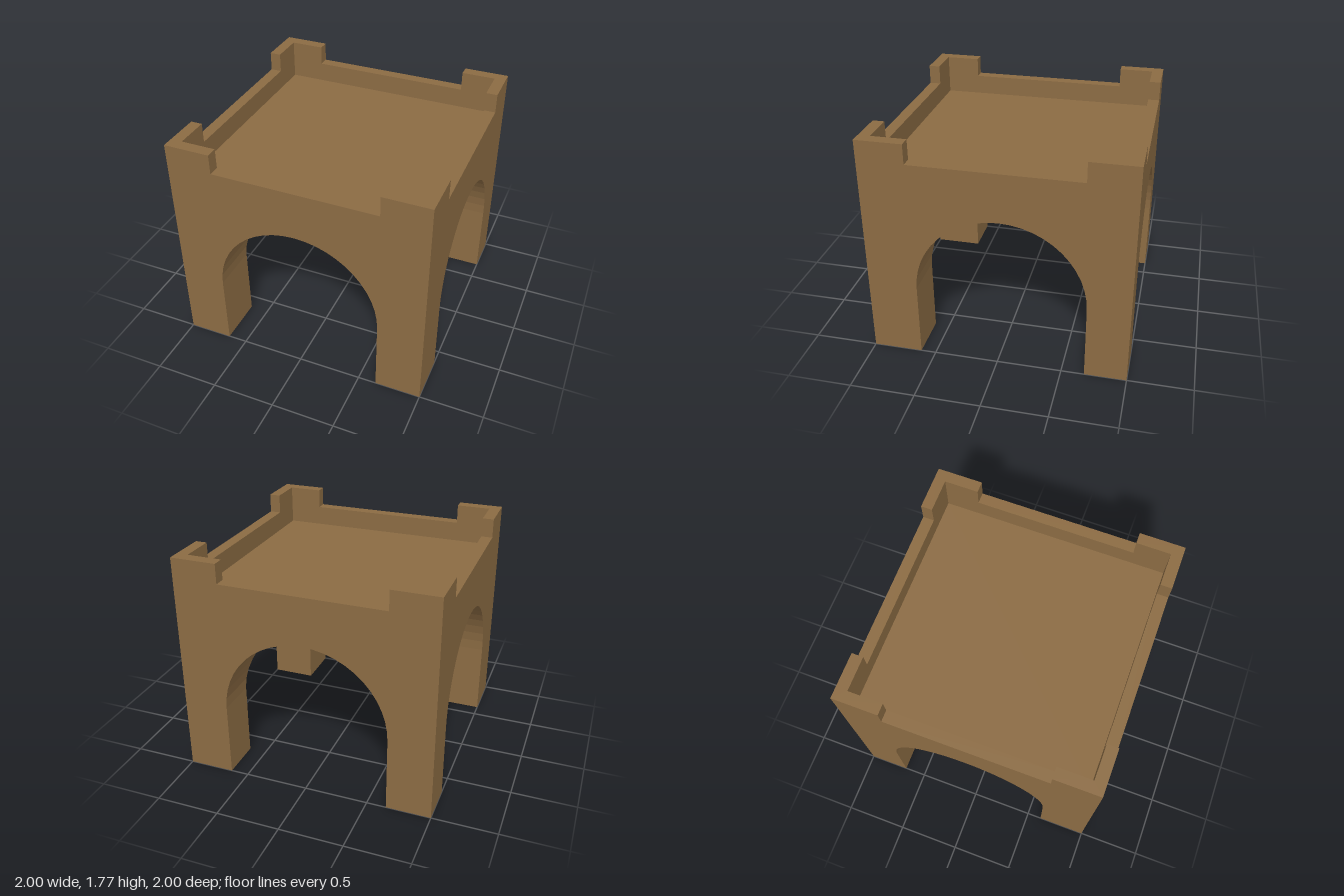
import * as THREE from 'three';

const SPRING = 0.59, R = 0.647, SEG = 24;           // arch springing height, radius, facets
const CX = -0.005, CZ = -0.03;                      // arch centres on the x and z walls
const FLOOR = 1.46, LOW = 1.62, TOP = 1.775;        // terrace, low parapet, corner heights
const INNER = 0.91, GAP = 0.64;                     // parapet inner face, end of corner pieces

const material = new THREE.MeshStandardMaterial({ color: 0x8b6b43, flatShading: true });

// Half the arch profile is leg, the rest a faceted semicircle: from right foot to left foot
function archProfile() {
  const points = [[R, 0]];
  for (let i = 0; i <= SEG; i++) {
    const t = (i / SEG) * Math.PI;
    points.push([R * Math.cos(t), SPRING + R * Math.sin(t)]);
  }
  points.push([-R, 0]);
  return points;
}

function polygon(points) {
  return new THREE.ShapeGeometry(new THREE.Shape(points.map(([x, y]) => new THREE.Vector2(x, y))));
}

function quads(list) {
  const positions = [];
  for (const [a, b, c, d] of list) positions.push(...a, ...b, ...c, ...a, ...c, ...d);
  const geometry = new THREE.BufferGeometry();
  geometry.setAttribute('position', new THREE.Float32BufferAttribute(positions, 3));
  geometry.computeVertexNormals();
  return geometry;
}

function add(parent, name, geometry) {
  const mesh = new THREE.Mesh(geometry, material);
  mesh.name = name;
  parent.add(mesh);
  return mesh;
}

// Notched upper edge of a wall, from right to left
const battlement = (half) => [
  [half, TOP], [GAP, TOP], [GAP, LOW], [-GAP, LOW], [-GAP, TOP], [-half, TOP],
];

// One side, built facing +z; archX is its arch centre, crossZ the crossing vault's centre
function createSide(archX, crossZ) {
  const side = new THREE.Group();
  const profile = archProfile().map(([u, y]) => [u + archX, y, crossZ + Math.abs(u)]);

  // Outer wall with arch opening and notched top
  const opening = profile.map(([x, y]) => [x, y]).reverse();
  add(side, 'archedWall', polygon([[1, 0], ...battlement(1), [-1, 0], ...opening]))
    .position.z = 1;

  // Quarter of the groin vault, with the inner leg faces
  const strips = [];
  for (let i = 0; i < profile.length - 1; i++) {
    const [x0, y0, z0] = profile[i], [x1, y1, z1] = profile[i + 1];
    strips.push([[x0, y0, 1], [x1, y1, 1], [x1, y1, z1], [x0, y0, z0]]);
  }
  add(side, 'vault', quads(strips));

  // Parapet inner face
  const inside = add(side, 'parapetInside',
    polygon([[INNER, FLOOR], ...battlement(INNER), [-INNER, FLOOR]]));
  inside.rotation.y = Math.PI;
  inside.position.z = INNER;

  // Parapet ledge and the ends of the raised corners
  add(side, 'parapetLedge', quads([
    [[-GAP, LOW, 1], [GAP, LOW, 1], [GAP, LOW, INNER], [-GAP, LOW, INNER]],
    [[-GAP, LOW, 1], [-GAP, LOW, INNER], [-GAP, TOP, INNER], [-GAP, TOP, 1]],
    [[GAP, LOW, INNER], [GAP, LOW, 1], [GAP, TOP, 1], [GAP, TOP, INNER]],
  ]));

  // L-shaped top of the corner on this side's right
  const cap = add(side, 'cornerTop', polygon([
    [GAP, -1], [1, -1], [1, -GAP], [INNER, -GAP], [INNER, -INNER], [GAP, -INNER],
  ]));
  cap.rotation.x = -Math.PI / 2;
  cap.position.y = TOP;

  // Underside of the leg on this side's right
  const x = archX + R, z = crossZ + R;
  add(side, 'legFoot', quads([[[x, 0, z], [1, 0, z], [1, 0, 1], [x, 0, 1]]]));
  return side;
}

export function createModel() {
  const model = new THREE.Group();
  model.name = 'vaultedGatehouse';

  // Four sides, each with its arch centres in its own turned frame
  const sides = [
    ['frontSide', CX, CZ], ['leftSide', -CZ, CX],
    ['backSide', -CX, -CZ], ['rightSide', CZ, -CX],
  ];
  sides.forEach(([name, archX, crossZ], i) => {
    const side = createSide(archX, crossZ);
    side.name = name;
    side.rotation.y = (i * Math.PI) / 2;
    model.add(side);
  });

  // Terrace floor inside the parapet
  const terrace = add(model, 'terrace', new THREE.PlaneGeometry(2 * INNER, 2 * INNER));
  terrace.rotation.x = -Math.PI / 2;
  terrace.position.y = FLOOR;
  return model;
}
